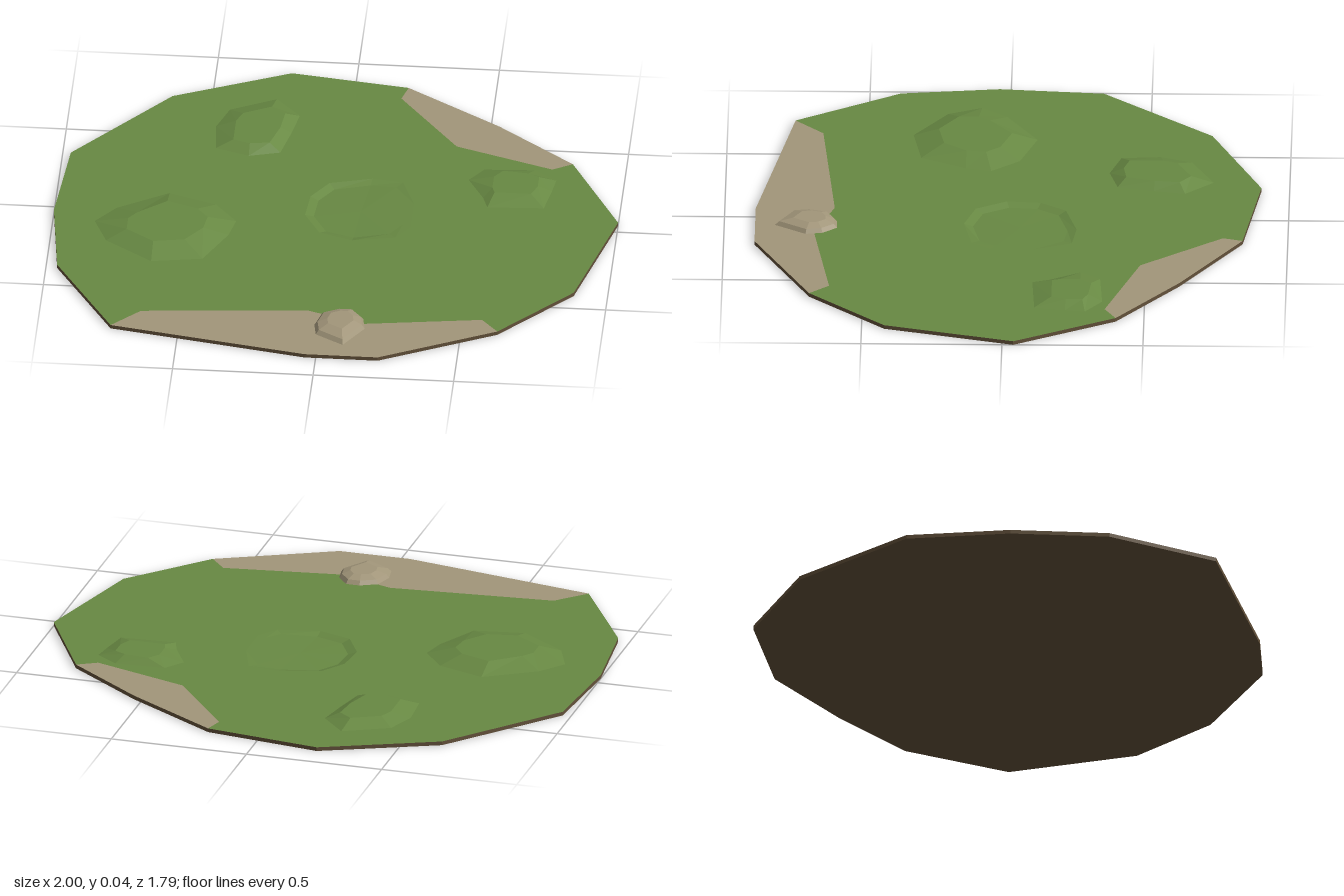
import * as THREE from 'three';

const TOP = 0.014; // height of the flat ground

const mat = (color) => new THREE.MeshStandardMaterial({ color, flatShading: true });
const grass = mat(0x688943);
const sand = mat(0xa2967a);
const soil = mat(0x63513a);

// All loops are [x, z], clockwise seen from above.
const backRim = [[-0.23, -0.9], [0.19, -0.84]];
const backSandRim = [[0.53, -0.62]];
const rightRim = [[0.81, -0.4], [1, -0.04], [0.88, 0.42], [0.63, 0.69]];
const frontSandRim = [[0.22, 0.89], [-0.04, 0.89]];
const leftRim = [[-0.74, 0.76], [-0.96, 0.39], [-1, 0.04], [-0.97, -0.33], [-0.64, -0.72]];
const backSandEdge = [[0.17, -0.77], [0.39, -0.48], [0.74, -0.36]];
const frontSandEdge = [[0.57, 0.62], [0.15, 0.68], [-0.05, 0.61], [-0.64, 0.66]];
const outline = [...backRim, ...backSandRim, ...rightRim, ...frontSandRim, ...leftRim];

const hills = [
  {
    name: 'leftHill', height: 0.04,
    base: [[-0.85, 0.1], [-0.78, 0.01], [-0.6, -0.1], [-0.43, -0.04], [-0.35, 0.06], [-0.37, 0.15], [-0.45, 0.31], [-0.63, 0.34], [-0.8, 0.22]],
    top: [[-0.73, 0.11], [-0.7, 0.07], [-0.6, -0.01], [-0.49, 0.03], [-0.45, 0.08], [-0.46, 0.15], [-0.52, 0.23], [-0.63, 0.25], [-0.73, 0.18]],
  },
  {
    name: 'backHill', height: 0.035,
    base: [[-0.47, -0.54], [-0.43, -0.65], [-0.27, -0.73], [-0.18, -0.63], [-0.2, -0.52], [-0.23, -0.39], [-0.34, -0.36], [-0.46, -0.4]],
    top: [[-0.4, -0.55], [-0.38, -0.6], [-0.28, -0.65], [-0.23, -0.61], [-0.24, -0.52], [-0.27, -0.42], [-0.34, -0.41], [-0.4, -0.43]],
  },
  {
    name: 'rightHill', height: 0.033,
    base: [[0.45, -0.27], [0.5, -0.34], [0.68, -0.35], [0.76, -0.29], [0.75, -0.22], [0.73, -0.11], [0.53, -0.1], [0.51, -0.16]],
    top: [[0.54, -0.27], [0.57, -0.31], [0.66, -0.3], [0.7, -0.28], [0.7, -0.22], [0.68, -0.17], [0.55, -0.17], [0.54, -0.2]],
  },
];

const craterRim = [[-0.11, 0], [-0.1, -0.12], [-0.04, -0.21], [0.11, -0.25], [0.22, -0.235], [0.27, -0.1], [0.27, 0.05], [0.22, 0.12], [0.07, 0.15], [-0.05, 0.11]];
const rockBase = [[-0.02, 0.7], [0, 0.63], [0.06, 0.6], [0.11, 0.6], [0.15, 0.65], [0.16, 0.71], [0.09, 0.82], [-0.01, 0.76]];

const level = (loop, y) => loop.map(([x, z]) => [x, y, z]);
const scaled = (loop, cx, cz, s) => loop.map(([x, z]) => [cx + (x - cx) * s, cz + (z - cz) * s]);

// Faceted surface through matching rings, with an optional cap on the last ring.
function loft(rings, cap) {
  const pos = [];
  const n = rings[0].length;
  for (let i = 0; i < n; i++) {
    const j = (i + 1) % n;
    for (let r = 0; r + 1 < rings.length; r++) {
      const [lo, hi] = [rings[r], rings[r + 1]];
      pos.push(...lo[i], ...hi[i], ...lo[j], ...lo[j], ...hi[i], ...hi[j]);
    }
    if (cap) {
      const last = rings[rings.length - 1];
      const centre = [0, 1, 2].map((k) => last.reduce((sum, p) => sum + p[k], 0) / n);
      pos.push(...last[i], ...centre, ...last[j]);
    }
  }
  const geo = new THREE.BufferGeometry();
  geo.setAttribute('position', new THREE.Float32BufferAttribute(pos, 3));
  geo.computeVertexNormals();
  return geo;
}

// Flat sheet facing up, with holes.
function sheet(loop, holes = []) {
  const pts = (l) => l.map(([x, z]) => new THREE.Vector2(x, -z));
  const shape = new THREE.Shape(pts(loop));
  shape.holes = holes.map((h) => new THREE.Path(pts(h)));
  return new THREE.ShapeGeometry(shape).rotateX(-Math.PI / 2).translate(0, TOP, 0);
}

export function createModel() {
  const model = new THREE.Group();
  const add = (name, geo, material) => {
    const mesh = new THREE.Mesh(geo, material);
    mesh.name = name;
    model.add(mesh);
  };

  // Soil edge and underside
  add('soilEdge', loft([level(outline, 0), level(outline, TOP)], false), soil);
  const under = new THREE.Shape(outline.map(([x, z]) => new THREE.Vector2(x, z)));
  add('underside', new THREE.ShapeGeometry(under).rotateX(Math.PI / 2), soil);

  // Grass, cut out for the sand, hills and crater
  const grassLoop = [...backRim, ...backSandEdge, ...rightRim, ...frontSandEdge, ...leftRim];
  add('grass', sheet(grassLoop, [...hills.map((h) => h.base), craterRim]), grass);

  // Sand patches along the rim
  add('backSand', sheet([backRim[1], ...backSandRim, rightRim[0], ...[...backSandEdge].reverse()]), sand);
  add('frontSand', sheet([rightRim[3], ...frontSandRim, leftRim[0], ...[...frontSandEdge].reverse()]), sand);

  // Low flat-topped hills
  for (const { name, height, base, top } of hills) {
    add(name, loft([level(base, TOP), level(top, height)], true), grass);
  }

  // Shallow crater whose floor ramps up towards +x
  const floor = scaled(craterRim, 0.08, -0.05, 0.84)
    .map(([x, z]) => [x, TOP - 0.01 * Math.min(1, Math.max(0.1, (0.26 - x) / 0.2)), z]);
  add('crater', loft([level(craterRim, TOP), floor], true), grass);

  // Rock on the front sand
  add('rock', loft([
    level(rockBase, TOP),
    level(scaled(rockBase, 0.075, 0.69, 0.88), 0.028),
    level(scaled(rockBase, 0.075, 0.685, 0.52), 0.04),
  ], true), sand);

  return model;
}
